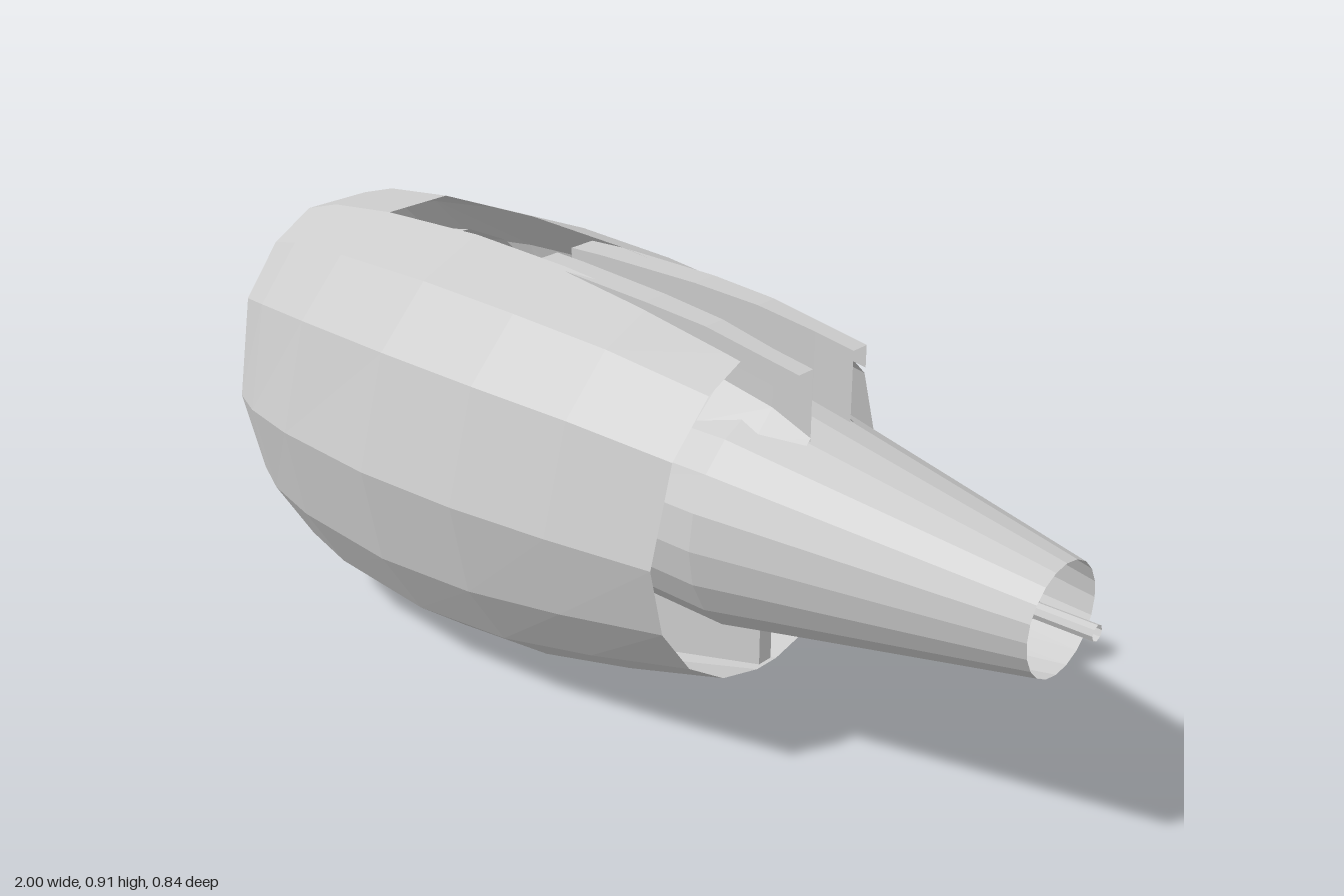
import * as THREE from 'three';

const grey = new THREE.MeshStandardMaterial({ color: 0xcccccc, flatShading: true, side: THREE.DoubleSide });
const AXIS_Y = 0.5;

// Skin lofted through rows of points; skip(row, column) leaves a face out
function loft(name, rows, skip = () => false) {
  const pos = rows.flat(2), index = [], n = rows[0].length;
  for (let r = 0; r < rows.length - 1; r++) {
    for (let c = 0; c < n - 1; c++) {
      if (skip(r, c)) continue;
      const a = r * n + c, b = a + n;
      index.push(a, a + 1, b, b, a + 1, b + 1);
    }
  }
  const geo = new THREE.BufferGeometry();
  geo.setAttribute('position', new THREE.Float32BufferAttribute(pos, 3));
  geo.setIndex(index);
  geo.computeVertexNormals();
  const mesh = new THREE.Mesh(geo, grey);
  mesh.name = name;
  return mesh;
}

// Sixteen-sided nacelle section: half width, height above and below the axis, lip slant
const HALF = [11, 33, 56, 90, 115, 137, 157, 175];
const ANGLES = [...HALF, ...HALF.map(a => 360 - a).reverse(), 371];
function section([x, width, up, down, slant = 0], slotWidth = 0) {
  return ANGLES.map((deg, i) => {
    const a = THREE.MathUtils.degToRad(deg);
    const c = Math.cos(a);
    const y = AXIS_Y + c * (c > 0 ? up * 1.018 : down);
    let z = width * Math.sin(a);
    if (slotWidth && (i === 0 || i >= ANGLES.length - 2)) z = Math.sign(z) * slotWidth;
    return [x + slant * (1 - c) / 2, y, z];
  });
}

// Round part turned about the engine axis from [x, radius] points
function turned(name, profile, sides) {
  const geo = new THREE.LatheGeometry(profile.map(([x, r]) => new THREE.Vector2(r, x)), sides);
  const mesh = new THREE.Mesh(geo, grey);
  mesh.rotation.z = -Math.PI / 2;
  mesh.position.y = AXIS_Y;
  mesh.name = name;
  return mesh;
}

export function createModel() {
  const engine = new THREE.Group();
  engine.name = 'jetEngine';

  // Outer cowl with the top slot open from the fourth station back
  const outer = [
    [-1, 0.295, 0.33, 0.38, 0.075],
    [-0.975, 0.335, 0.357, 0.42, 0.085],
    [-0.88, 0.37, 0.385, 0.455, 0.06],
    [-0.7, 0.4, 0.405, 0.48],
    [-0.43, 0.42, 0.415, 0.497],
    [-0.18, 0.41, 0.405, 0.472],
    [0.05, 0.383, 0.385, 0.415],
    [0.285, 0.345, 0.345, 0.345],
  ];
  const slotColumn = ANGLES.length - 2;
  engine.add(loft('outerCowl', outer.map(s => section(s, 0.08)), (r, c) => r >= 3 && c === slotColumn));

  // Intake lining
  const lining = [
    [-1, 0.295, 0.33, 0.38, 0.075],
    [-0.965, 0.305, 0.312, 0.35, 0.07],
    [-0.82, 0.305, 0.305, 0.335, 0.03],
    [-0.63, 0.34, 0.345, 0.345],
  ];
  engine.add(loft('intakeLining', lining.map(s => section(s, 0.08))));

  // Core casing with tapering nozzle, inner plug and vent pipe
  engine.add(turned('coreNozzle', [[-0.19, 0.21], [0, 0.235], [0.285, 0.24], [0.42, 0.212], [0.93, 0.11]], 20));
  engine.add(turned('innerPlug', [[-0.19, 0.21], [0.42, 0.13], [0.88, 0.016]], 20));
  engine.add(turned('ventPipe', [[0.6, 0.016], [1, 0.016]], 8));

  // Pylon: V-shaped walls, top shelves, shelf edges and root fairings, mirrored
  const stations = [ // x, wall z, outer z, top y
    [-0.26, 0.02, 0.08, 0.9],
    [-0.18, 0.026, 0.09, 0.9],
    [0.05, 0.042, 0.1, 0.893],
    [0.2, 0.051, 0.1, 0.882],
    [0.33, 0.06, 0.1, 0.86],
    [0.42, 0.06, 0.1, 0.845],
  ];
  for (const [side, s] of [['left', -1], ['right', 1]]) {
    const pylon = new THREE.Group();
    pylon.name = side + 'Pylon';
    pylon.add(
      loft('pylonWall', stations.map(([x, z, , y]) => [[x, 0.69, s * z], [x, y, s * z]])),
      loft('pylonShelf', stations.map(([x, z, o, y]) => [[x, y, s * z], [x, y, s * o]])),
      loft('shelfEdge', stations.map(([x, , o, y]) => [[x, y, s * o], [x, y - 0.045, s * o]])),
      loft('rootFairing', [
        [[-0.1, 0.72, s * 0.033], [-0.1, 0.7, s * 0.04]],
        [[0.2, 0.765, s * 0.052], [0.2, 0.7, s * 0.125]],
        [[0.33, 0.745, s * 0.06], [0.33, 0.69, s * 0.115]],
        [[0.42, 0.71, s * 0.06], [0.42, 0.69, s * 0.08]],
      ]),
    );
    engine.add(pylon);
  }

  // Lower strut between core and cowl
  const shape = new THREE.Shape([[-0.15, 0.04], [0.05, 0.1], [0.28, 0.16], [0.28, 0.28], [-0.15, 0.29]]
    .map(p => new THREE.Vector2(...p)));
  const strutGeo = new THREE.ExtrudeGeometry(shape, { depth: 0.036, bevelEnabled: false });
  strutGeo.translate(0, 0, -0.018);
  const strut = new THREE.Mesh(strutGeo, grey);
  strut.name = 'lowerStrut';
  engine.add(strut);

  return engine;
}
